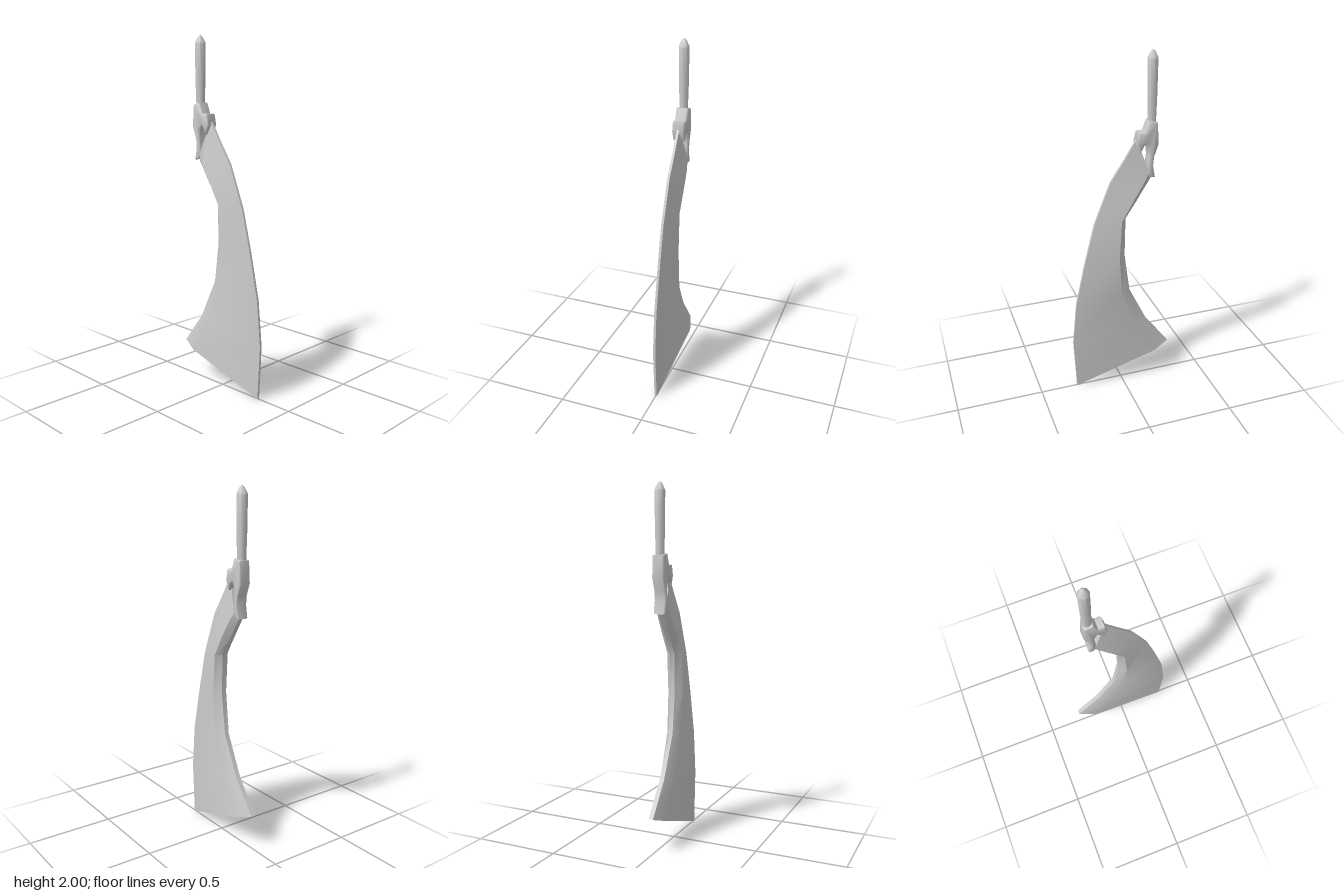
import * as THREE from 'three';
import { toCreasedNormals } from 'three/addons/utils/BufferGeometryUtils.js';

const material = new THREE.MeshStandardMaterial({ color: 0xcccccc, side: THREE.DoubleSide });

// Blade sections from the bottom up: left x, y, right x, y, half thickness
const SECTIONS = [
  [-0.30, 0.205, 0.28, 0.0, 0.045],
  [-0.16, 0.39, 0.295, 0.31, 0.045],
  [-0.05, 0.62, 0.27, 0.57, 0.045],
  [-0.02, 0.85, 0.215, 0.82, 0.045],
  [-0.025, 1.08, 0.155, 1.06, 0.045],
  [-0.085, 1.17, 0.06, 1.30, 0.045],
  [-0.135, 1.25, -0.02, 1.42, 0.042],
  [-0.17, 1.305, -0.088, 1.53, 0.033],
];

// Six-sided section: blunt back, thick shoulder, thin cutting edge
function bladeGeometry() {
  const positions = [], index = [], n = 6;
  for (const [lx, ly, rx, ry, half] of SECTIONS) {
    const point = (t, z) => positions.push(lx + (rx - lx) * t, ly + (ry - ly) * t, z);
    point(0, 0.013);
    point(0.17, half);
    point(1, 0.007);
    point(1, -0.007);
    point(0.17, -half);
    point(0, -0.013);
  }
  for (let i = 0; i < SECTIONS.length - 1; i++) {
    for (let j = 0; j < n; j++) {
      const a = i * n + j, b = i * n + (j + 1) % n;
      index.push(a, b, b + n, a, b + n, a + n);
    }
  }
  // End caps
  const top = (SECTIONS.length - 1) * n;
  for (let k = 1; k < n - 1; k++) {
    index.push(0, k + 1, k);
    index.push(top, top + k, top + k + 1);
  }
  const geometry = new THREE.BufferGeometry();
  geometry.setAttribute('position', new THREE.Float32BufferAttribute(positions, 3));
  geometry.setIndex(index);
  return toCreasedNormals(geometry, 0.75);
}

// Scalloped mount that grips the top of the blade
function claspGeometry() {
  const outline = [
    [-0.20, 1.62], [-0.208, 1.50], [-0.183, 1.43], [-0.178, 1.38], [-0.19, 1.31],
    [-0.158, 1.315], [-0.147, 1.38], [-0.155, 1.43], [-0.152, 1.48], [-0.137, 1.505],
    [-0.122, 1.49], [-0.105, 1.457], [-0.082, 1.51], [-0.095, 1.57], [-0.13, 1.57], [-0.153, 1.63],
  ].map(([x, y]) => new THREE.Vector2(x, y));
  const geometry = new THREE.ExtrudeGeometry(new THREE.Shape(outline), {
    depth: 0.05, bevelEnabled: true, bevelThickness: 0.01, bevelSize: 0.008,
    bevelOffset: -0.008, bevelSegments: 2,
  });
  geometry.translate(0, 0, -0.025);
  return toCreasedNormals(geometry, 0.9);
}

// Eight-sided rod with a pointed end
function rodGeometry() {
  const profile = [[0, 1.46], [0.024, 1.48], [0.024, 1.62], [0.028, 1.76], [0.03, 1.955], [0.013, 1.99], [0, 2.0]];
  const geometry = new THREE.LatheGeometry(profile.map(([r, y]) => new THREE.Vector2(r, y)), 8);
  return toCreasedNormals(geometry, 0.85);
}

export function createModel() {
  const group = new THREE.Group();
  const add = (name, geometry, x = 0) => {
    const mesh = new THREE.Mesh(geometry, material);
    mesh.name = name;
    mesh.position.x = x;
    group.add(mesh);
  };
  add('blade', bladeGeometry());
  add('clasp', claspGeometry());
  add('rod', rodGeometry(), -0.176);
  return group;
}
